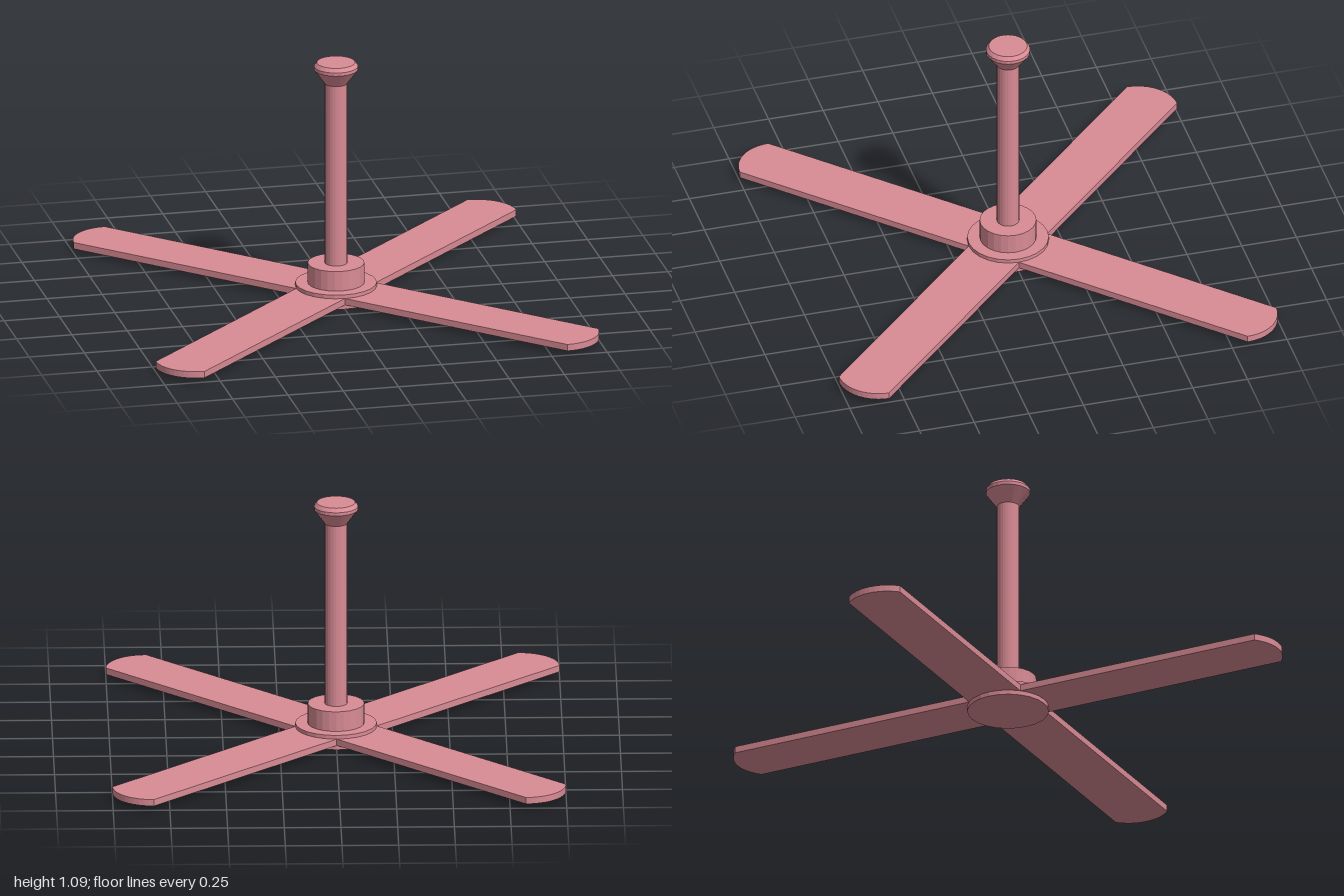
import * as THREE from 'three';

export function createModel() {
  const fan = new THREE.Group();
  fan.name = 'ceilingFan';
  const material = new THREE.MeshStandardMaterial({ color: 0xd98b95, flatShading: true });

  function add(name, geometry) {
    const mesh = new THREE.Mesh(geometry, material);
    mesh.name = name;
    fan.add(mesh);
    return mesh;
  }

  // Upright cylinder between two heights
  function drum(name, radius, bottom, top) {
    add(name, new THREE.CylinderGeometry(radius, radius, top - bottom, 24))
      .position.y = (bottom + top) / 2;
  }

  drum('hubPlate', 0.18, 0, 0.067);
  drum('motorHousing', 0.125, 0.067, 0.158);
  drum('downRod', 0.05, 0.158, 1.0);

  // Flared ceiling mount with a bevelled top
  const mountProfile = [
    [0, 0.995], [0.05, 0.995], [0.098, 1.06], [0.098, 1.075], [0.085, 1.092], [0, 1.092],
  ].map(([r, y]) => new THREE.Vector2(r, y));
  add('ceilingMount', new THREE.LatheGeometry(mountProfile, 24));

  // Flat blade with a shallow rounded tip: a quarter arc across its width
  const tipRadius = 0.18;
  const halfWidth = tipRadius * Math.SQRT1_2;
  const tipCentre = 0.82 * Math.SQRT2;
  const outline = new THREE.Shape();
  outline.moveTo(0, -halfWidth);
  outline.lineTo(tipCentre + halfWidth, -halfWidth);
  outline.absarc(tipCentre, 0, tipRadius, -Math.PI / 4, Math.PI / 4, false);
  outline.lineTo(0, halfWidth);
  outline.closePath();
  const bladeGeometry = new THREE.ExtrudeGeometry(outline, {
    depth: 0.03, bevelEnabled: false, curveSegments: 6,
  });
  bladeGeometry.rotateX(-Math.PI / 2);
  bladeGeometry.translate(0, 0.02, 0);

  // Four blades on the diagonals
  for (let i = 0; i < 4; i++) {
    add('blade' + (i + 1), bladeGeometry).rotation.y = Math.PI / 4 + i * Math.PI / 2;
  }

  return fan;
}
